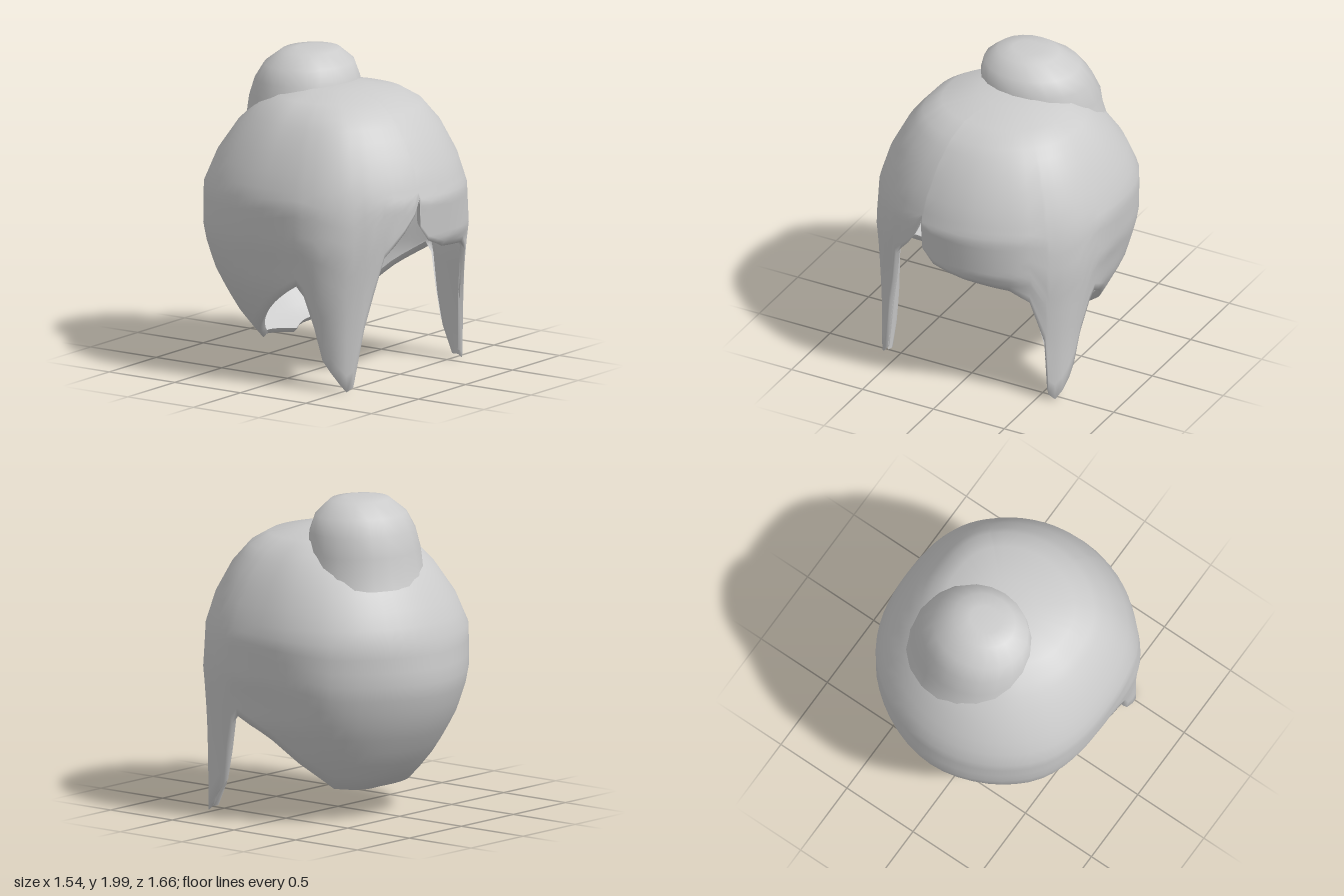
import * as THREE from 'three';

// Radius of the hair shell: [height, then radius at 0, 50, 90, 135, 180 degrees from the front]
const ANGLES = [0, 50, 90, 135, 180];
const PROFILE = [
  [1.80, 0, 0, 0, 0, 0],
  [1.79, 0.20, 0.20, 0.20, 0.20, 0.20],
  [1.75, 0.42, 0.43, 0.40, 0.36, 0.30],
  [1.68, 0.54, 0.55, 0.50, 0.47, 0.45],
  [1.55, 0.66, 0.66, 0.61, 0.60, 0.60],
  [1.36, 0.77, 0.76, 0.71, 0.73, 0.73],
  [1.17, 0.83, 0.82, 0.77, 0.81, 0.81],
  [0.90, 0.80, 0.84, 0.75, 0.81, 0.83],
  [0.80, 0.73, 0.83, 0.72, 0.79, 0.81],
  [0.62, 0.70, 0.82, 0.68, 0.73, 0.74],
  [0.40, 0.68, 0.81, 0.57, 0.61, 0.60],
  [0.22, 0.66, 0.81, 0.46, 0.47, 0.44],
  [0.17, 0.66, 0.81, 0.44, 0.42, 0.31],
  [0.00, 0.64, 0.81, 0.40, 0.35, 0.30],
];

// Hem height by angle: side lock and nape are mirrored, the fringe is parted to one side
const OUTER = [[52, 0.06], [60, 0.2], [64, 0.4], [69, 0.6], [73, 0.66], [90, 0.52], [105, 0.38], [127, 0.21]];
const HEM = [
  [-180, 0.17],
  ...OUTER.map(([a, y]) => [-a, y]).reverse(),
  [-49, 0.01], [-46, 0.04], [-41, 0.4], [-37, 0.6], [-32, 0.85], [-22, 1.0], [-17, 1.1], [-14.2, 1.2],
  [-13.5, 1.01], [-8, 0.92], [6, 0.845], [28, 0.81], [37, 0.73], [44, 0.42], [45.5, 0.05], [48.5, 0.01],
  ...OUTER,
  [180, 0.17],
];

// Inner faces of the locks: [height, front edge angle, rear edge angle]
const LEFT_LINING = [[0.97, 44, 62], [0.82, 36, 74], [0.62, 40, 69], [0.4, 44, 64], [0.2, 45, 60], [0.04, 46, 51]];
const RIGHT_LINING = [[0.97, -44, -62], [0.85, -33, -74], [0.62, -37, -69], [0.4, -41, -64], [0.2, -44, -60], [0.04, -46, -51]];

function shellRadius(deg, y) {
  const a = Math.abs(deg);
  let k = 0;
  while (k < ANGLES.length - 2 && a > ANGLES[k + 1]) k++;
  const s = THREE.MathUtils.smoothstep(a, ANGLES[k], ANGLES[k + 1]);
  let i = 0;
  while (i < PROFILE.length - 2 && y < PROFILE[i + 1][0]) i++;
  const [p, q] = [PROFILE[i], PROFILE[i + 1]];
  const t = THREE.MathUtils.clamp((p[0] - y) / (p[0] - q[0]), 0, 1);
  const at = (row) => THREE.MathUtils.lerp(row[k + 1], row[k + 2], s);
  return THREE.MathUtils.lerp(at(p), at(q), t);
}

// Point on the shell, moved inward by inset
function shellPoint(deg, y, inset = 0) {
  const a = THREE.MathUtils.degToRad(deg);
  const r = shellRadius(deg, y) - inset;
  return new THREE.Vector3(r * Math.sin(a), y, r * Math.cos(a));
}

// Columns follow the hem keys, subdivided to steps of at most seven degrees
function hemColumns() {
  const cols = [];
  for (let i = 0; i < HEM.length - 1; i++) {
    const [a0, y0] = HEM[i];
    const [a1, y1] = HEM[i + 1];
    const n = Math.ceil((a1 - a0) / 7);
    for (let j = 0; j < n; j++) cols.push([a0 + (a1 - a0) * j / n, y0 + (y1 - y0) * j / n]);
  }
  return cols;
}

function hairShell() {
  const cols = hemColumns();
  const n = cols.length;
  const upper = [1.79, 1.75, 1.68, 1.62, 1.55, 1.46, 1.36, 1.26];
  const lowerRows = 12;
  const points = [new THREE.Vector3(0, 1.8, 0)];
  const index = [];
  // Crown rings
  for (const y of upper) for (const [a] of cols) points.push(shellPoint(a, y));
  // Rows stretching down to the hem
  for (let i = 1; i <= lowerRows; i++) {
    for (const [a, hem] of cols) points.push(shellPoint(a, 1.26 + (hem - 1.26) * i / lowerRows));
  }
  // Lip turned inward along the hem
  for (const [a, hem] of cols) points.push(shellPoint(a, hem, 0.03).setY(hem + 0.03));

  const rows = upper.length + lowerRows + 1;
  for (let j = 0; j < n; j++) {
    const k = (j + 1) % n;
    index.push(0, 1 + j, 1 + k);
    for (let i = 0; i < rows - 1; i++) {
      const a = 1 + i * n + j, b = 1 + i * n + k;
      index.push(a, a + n, b, b, a + n, b + n);
    }
  }
  const g = new THREE.BufferGeometry().setFromPoints(points);
  g.setIndex(index);
  g.computeVertexNormals();
  return g;
}

// Ruled face between both edges of a lock, bowed slightly inward
function lockLining(edges) {
  const across = 4;
  const g = new THREE.PlaneGeometry(1, 1, across, edges.length - 1);
  const p = g.attributes.position;
  edges.forEach(([y, front, rear], row) => {
    const a = shellPoint(front, y, 0.02);
    const b = shellPoint(rear, y, 0.02);
    for (let c = 0; c <= across; c++) {
      const t = c / across;
      const v = a.clone().lerp(b, t);
      const bow = 1 - 0.05 * Math.sin(Math.PI * t);
      p.setXYZ(row * (across + 1) + c, v.x * bow, y, v.z * bow);
    }
  });
  g.computeVertexNormals();
  return g;
}

// Flat-topped bun with a flared foot, leaning toward the back as it goes down
function bunGeometry() {
  const pts = [[0.43, 1.48], [0.40, 1.58], [0.385, 1.68], [0.36, 1.8], [0.31, 1.9], [0.2, 1.985], [0.1, 2], [0, 2]];
  const g = new THREE.LatheGeometry(pts.map(([r, y]) => new THREE.Vector2(r, y)), 20);
  const p = g.attributes.position;
  for (let i = 0; i < p.count; i++) {
    const drop = Math.min(2 - p.getY(i), 0.3) / 0.3;
    p.setX(i, p.getX(i) + 0.02 + 0.05 * drop);
    p.setZ(i, p.getZ(i) * 0.86 - 0.19 - 0.08 * drop);
  }
  return g;
}

export function createModel() {
  const material = new THREE.MeshStandardMaterial({ color: 0xcccccc, side: THREE.DoubleSide });
  const group = new THREE.Group();
  group.name = 'hairstyle';
  const add = (name, geometry) => {
    const mesh = new THREE.Mesh(geometry, material);
    mesh.name = name;
    group.add(mesh);
  };
  add('hairCapWithFringeAndSideLocks', hairShell());
  add('leftLockInnerFace', lockLining(LEFT_LINING));
  add('rightLockInnerFace', lockLining(RIGHT_LINING));
  add('hairBun', bunGeometry());
  return group;
}
